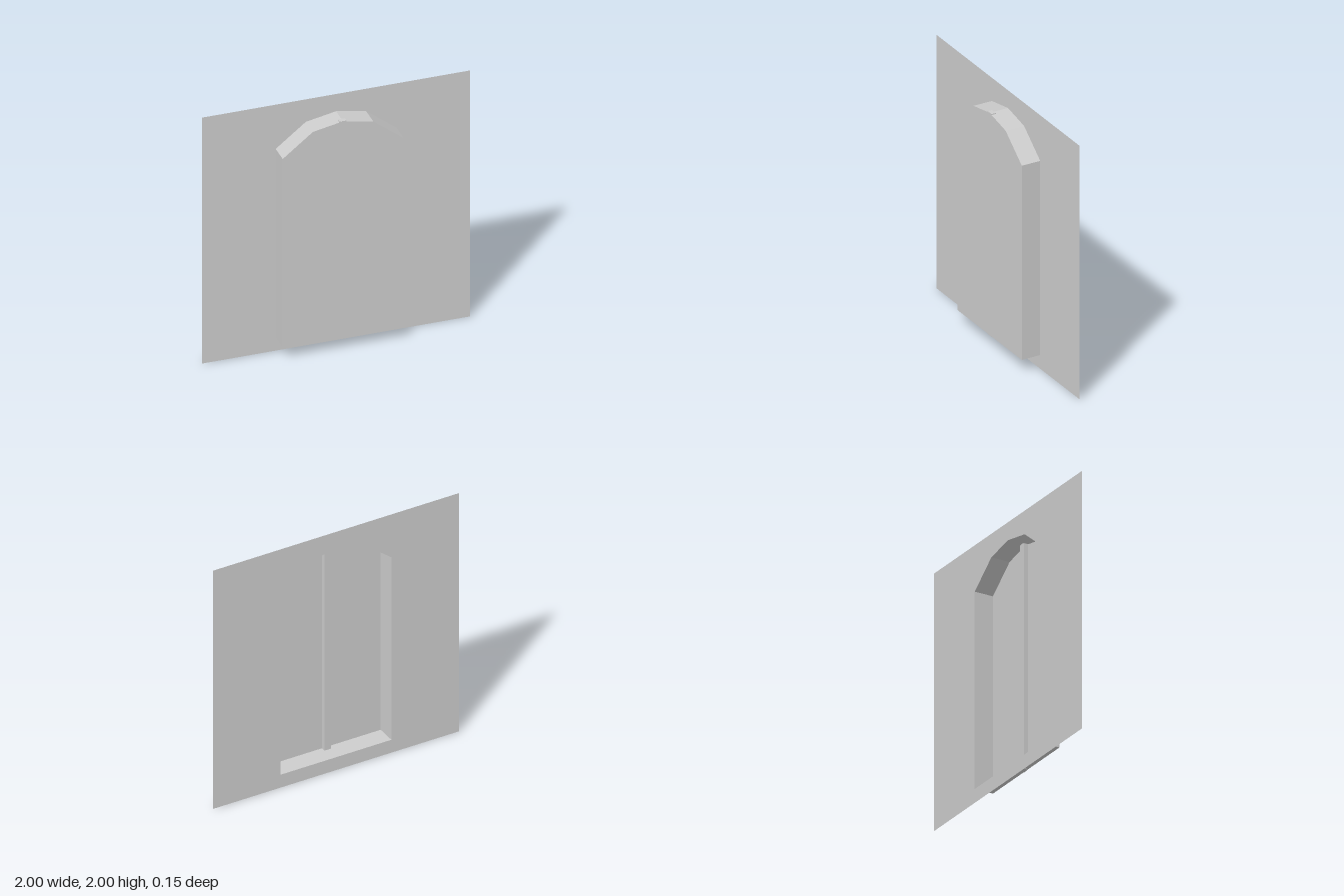
import * as THREE from 'three';

const BACK = -0.075;
const FRONT = 0.075;

// Arched window outline, counter-clockwise from the lower left
const OUTLINE = [
  [-0.45, 0.108], [0.45, 0.108], [0.45, 1.64], [0.225, 1.817],
  [0, 1.86], [-0.225, 1.817], [-0.45, 1.64],
].map(([x, y]) => new THREE.Vector2(x, y));

// Open band joining the wall opening to the window panel
function revealGeometry(points) {
  const positions = [];
  points.forEach((a, i) => {
    const b = points[(i + 1) % points.length];
    positions.push(
      a.x, a.y, BACK, b.x, b.y, BACK, b.x, b.y, FRONT,
      a.x, a.y, BACK, b.x, b.y, FRONT, a.x, a.y, FRONT,
    );
  });
  const geometry = new THREE.BufferGeometry();
  geometry.setAttribute('position', new THREE.Float32BufferAttribute(positions, 3));
  geometry.computeVertexNormals();
  return geometry;
}

export function createModel() {
  const group = new THREE.Group();
  group.name = 'archedWindowWall';

  const plaster = new THREE.MeshStandardMaterial({ color: 0xcccccc, side: THREE.DoubleSide });
  plaster.name = 'plaster grey';

  const add = (name, geometry, z = 0) => {
    const mesh = new THREE.Mesh(geometry, plaster);
    mesh.name = name;
    mesh.position.z = z;
    group.add(mesh);
    return mesh;
  };

  // Thin square wall with the arched opening
  const wall = new THREE.Shape([[-1, 0], [1, 0], [1, 2], [-1, 2]].map(([x, y]) => new THREE.Vector2(x, y)));
  wall.holes.push(new THREE.Path(OUTLINE));
  add('wall', new THREE.ShapeGeometry(wall), BACK);

  // Recess sides and the panel closing it
  add('windowReveal', revealGeometry(OUTLINE));
  add('windowPanel', new THREE.ShapeGeometry(new THREE.Shape(OUTLINE)), FRONT);

  // Upright bar inside the recess, its ends just passing through the frame
  const mullion = add('mullion', new THREE.BoxGeometry(0.054, 1.757, 0.035), 0.057);
  mullion.position.y = 0.983;

  return group;
}
